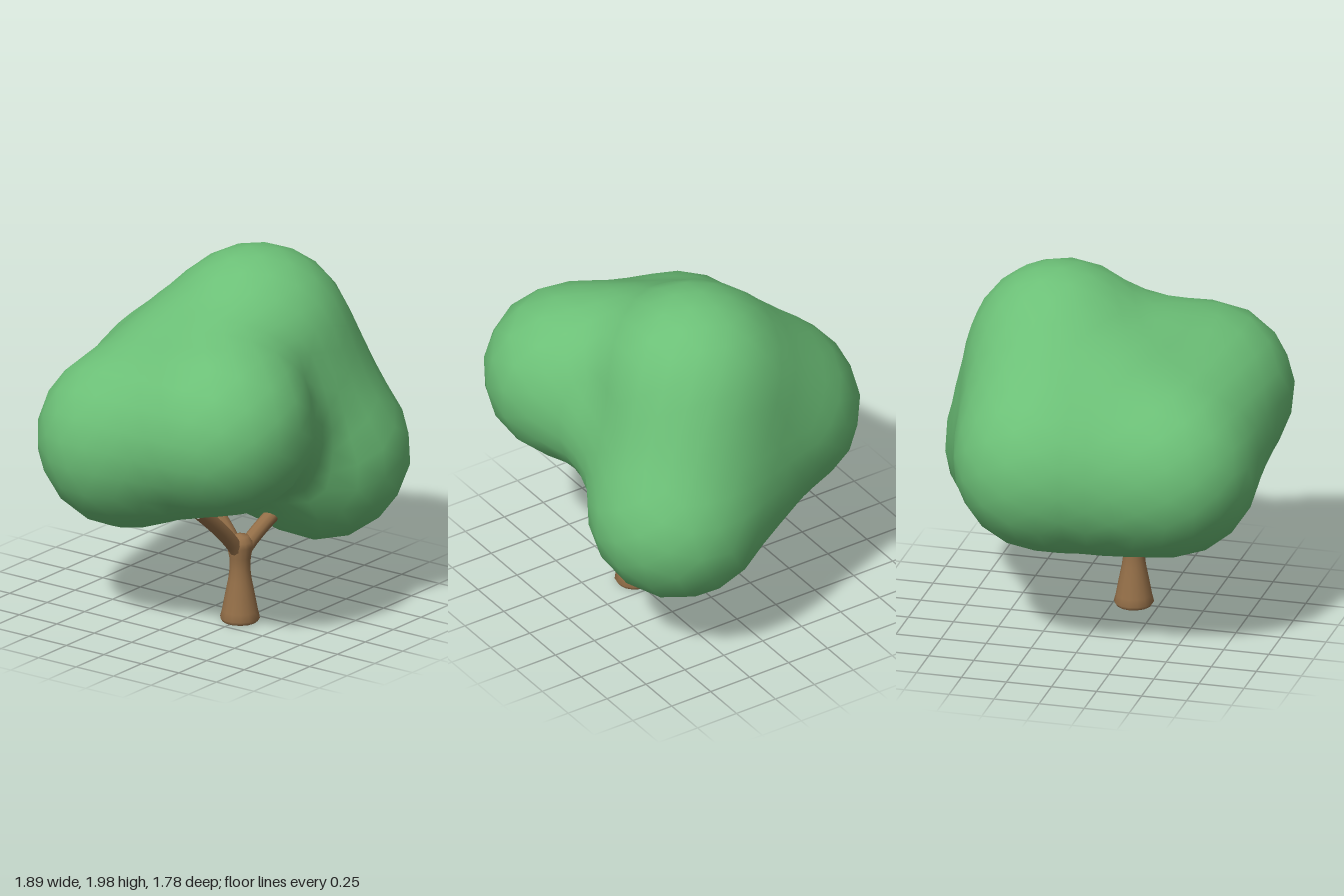
import * as THREE from 'three';
import { mergeVertices } from 'three/addons/utils/BufferGeometryUtils.js';

// Foliage lobes: centre x, y, z and radius
const LOBES = [
  // five main lobes
  [-0.47, 1.23, 0.42, 0.475],
  [0.465, 0.84, 0.355, 0.487],
  [0.24, 1.48, 0.1, 0.515],
  [0.2, 1.07, -0.4, 0.495],
  [-0.44, 1.04, -0.25, 0.495],
  // fillers between neighbouring lobes
  [-0.46, 1.14, 0.09, 0.455],
  [0.22, 1.275, -0.15, 0.485],
  [-0.12, 1.03, -0.33, 0.465],
  [-0.18, 1.37, 0.22, 0.42],
  [-0.1, 1.27, -0.1, 0.45],
  [0.35, 0.95, 0, 0.46],
  [0, 1.1, 0.33, 0.38],
  [0.37, 1.18, 0.22, 0.465],
  [0, 1.08, 0, 0.47],
];
const BLEND = 0.14;

// Distance to the softly merged lobes
function foliageDistance(p) {
  let d = Infinity;
  for (const [x, y, z, r] of LOBES) {
    const e = Math.hypot(p.x - x, p.y - y, p.z - z) - r;
    const h = Math.max(BLEND - Math.abs(d - e), 0) / BLEND;
    d = Math.min(d, e) - (h * h * BLEND) / 4;
  }
  return d;
}

// Icosphere shrunk inward until each vertex rests on the merged lobes
function foliageGeometry() {
  let geo = new THREE.IcosahedronGeometry(1, 6);
  geo.deleteAttribute('uv');
  geo.deleteAttribute('normal');
  geo = mergeVertices(geo, 1e-4);
  const centre = new THREE.Vector3(0, 1.12, 0.05);
  const pos = geo.attributes.position;
  const dir = new THREE.Vector3();
  const p = new THREE.Vector3();
  for (let i = 0; i < pos.count; i++) {
    dir.fromBufferAttribute(pos, i).normalize();
    let t = 1.7;
    for (let step = 0; step < 80; step++) {
      p.copy(centre).addScaledVector(dir, t);
      t -= foliageDistance(p);
    }
    pos.setXYZ(i, p.x, p.y, p.z);
  }
  geo.computeVertexNormals();
  return geo;
}

export function createModel() {
  const group = new THREE.Group();
  const bark = new THREE.MeshStandardMaterial({ color: 0x946f48 });
  const leaf = new THREE.MeshStandardMaterial({ color: 0x6cc077 });
  const add = (name, geo, mat) => {
    const mesh = new THREE.Mesh(geo, mat);
    mesh.name = name;
    group.add(mesh);
    return mesh;
  };

  add('foliage', foliageGeometry(), leaf);

  // Trunk with flared foot and crown; doubled points keep the foot edge crisp
  const profile = [
    [0, 0.01], [0.095, 0.01], [0.096, 0.011], [0.108, 0.03], [0.098, 0.07], [0.083, 0.15],
    [0.065, 0.24], [0.056, 0.31], [0.059, 0.37], [0.07, 0.43], [0.068, 0.46], [0.045, 0.49], [0, 0.5],
  ].map(([r, y]) => new THREE.Vector2(r, y));
  const trunk = add('trunk', new THREE.LatheGeometry(profile, 14), bark);
  trunk.position.set(-0.115, 0, 0.25);

  // Three branches fanning out of the trunk into the foliage
  const branches = {
    rightBranch: [[-0.115, 0.36, 0.25], [-0.14, 0.46, 0.25], [-0.47, 0.72, 0.24]],
    leftBranch: [[-0.115, 0.36, 0.25], [-0.09, 0.45, 0.26], [0.2, 0.68, 0.38]],
    backBranch: [[-0.115, 0.36, 0.25], [-0.12, 0.47, 0.22], [-0.13, 0.72, -0.01]],
  };
  for (const [name, pts] of Object.entries(branches)) {
    const curve = new THREE.QuadraticBezierCurve3(...pts.map((q) => new THREE.Vector3(...q)));
    add(name, new THREE.TubeGeometry(curve, 8, 0.041, 10), bark);
  }
  return group;
}
